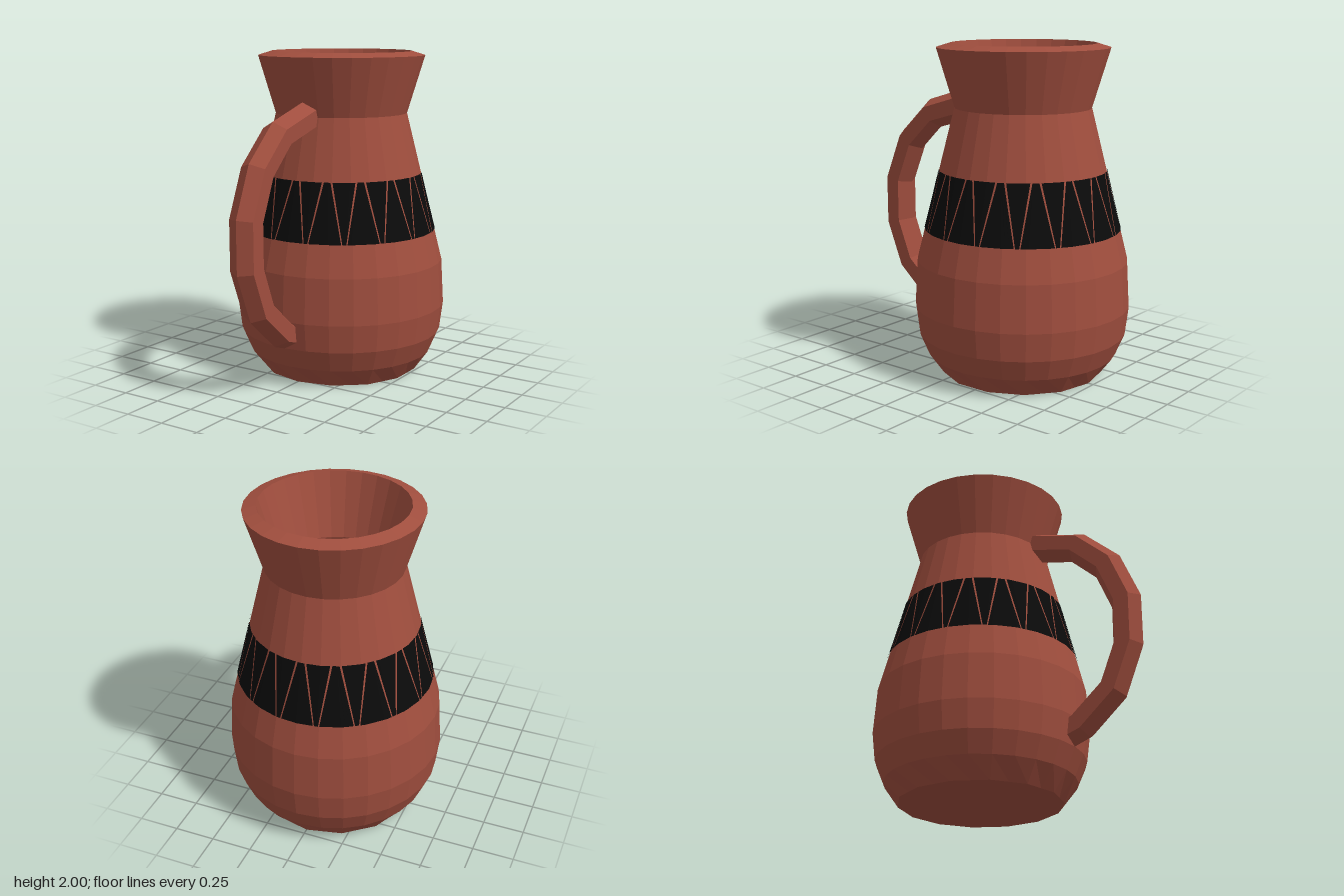
import * as THREE from 'three';

const SIDES = 28;
const CENTER_Z = -0.22;

const clay = new THREE.MeshStandardMaterial({ color: 0xa04e3e });
clay.name = 'terracotta';
const black = new THREE.MeshStandardMaterial({ color: 0x0b0b0b });
black.name = 'black glaze';

// Faceted mesh: every face gets its own normal
function facetMesh(name, geometry, material) {
  const flat = geometry.index ? geometry.toNonIndexed() : geometry;
  flat.computeVertexNormals();
  const mesh = new THREE.Mesh(flat, material);
  mesh.name = name;
  return mesh;
}

function indexedGeometry(positions, index) {
  const g = new THREE.BufferGeometry();
  g.setAttribute('position', new THREE.Float32BufferAttribute(positions, 3));
  g.setIndex(index);
  return g;
}

// Hollow jug body: outside from base to lip, then the inner wall down to the floor
function createBody() {
  const profile = [
    [0, 0], [0.495, 0], [0.58, 0.12], [0.635, 0.25], [0.656, 0.42], [0.64, 0.7],
    [0.41, 1.62], [0.517, 1.975], [0.435, 2],
    [0.325, 1.62], [0.55, 0.7], [0.55, 0.3], [0.42, 0.08], [0, 0.08],
  ].map(([r, y]) => new THREE.Vector2(r, y));
  const g = new THREE.LatheGeometry(profile, SIDES);
  // The foot has half as many sides: pull every other corner onto the chord
  const p = g.attributes.position;
  const k = Math.cos((2 * Math.PI) / SIDES);
  for (let i = 1; i <= SIDES; i += 2) {
    const v = i * profile.length + 1;
    p.setXYZ(v, p.getX(v) * k, p.getY(v), p.getZ(v) * k);
  }
  return facetMesh('body', g, clay);
}

// Point just above the faceted shoulder of the body
function shoulderPoint(angle, y) {
  const seg = (2 * Math.PI) / SIDES;
  const local = angle - Math.floor(angle / seg) * seg - seg / 2;
  const corner = 0.64 - ((y - 0.7) / 0.92) * 0.23;
  const r = (corner * Math.cos(seg / 2)) / Math.cos(local) + 0.005;
  return [r * Math.sin(angle), y, r * Math.cos(angle)];
}

// Band of alternating upright and inverted painted trapezoids
function createBand() {
  const band = new THREE.Group();
  band.name = 'paintedBand';
  const count = 32, bottom = 0.895, top = 1.25, cols = 8;
  const step = (2 * Math.PI) / count;
  for (let n = 0; n < count; n++) {
    const upright = n % 2 === 0;
    const halfBottom = step * (upright ? 0.84 : 0.1);
    const halfTop = step * (upright ? 0.2 : 0.68);
    const positions = [], index = [];
    for (let row = 0; row < 2; row++) {
      for (let c = 0; c <= cols; c++) {
        const a = n * step + (row ? halfTop : halfBottom) * ((2 * c) / cols - 1);
        positions.push(...shoulderPoint(a, row ? top : bottom));
      }
    }
    for (let c = 0; c < cols; c++) {
      const d = c + cols + 1;
      index.push(c, c + 1, d, c + 1, d + 1, d);
    }
    band.add(facetMesh('bandTrapezoid', indexedGeometry(positions, index), black));
  }
  return band;
}

// Hexagonal bar swept along a path in the yz plane
function createHandle() {
  const path = [
    [0.13, 1.635], [0.475, 1.535], [0.672, 1.35], [0.782, 1.085],
    [0.78, 0.805], [0.675, 0.545], [0.465, 0.365], [0.34, 0.325],
  ].map(([z, y]) => new THREE.Vector2(z, y));
  const positions = [], index = [];
  path.forEach((p, i) => {
    const before = path[Math.max(i - 1, 0)];
    const after = path[Math.min(i + 1, path.length - 1)];
    const t = after.clone().sub(before).normalize();
    for (let s = 0; s < 6; s++) {
      const a = (s * Math.PI) / 3;
      const out = 0.096 * Math.cos(a);
      positions.push(0.096 * Math.sin(a), p.y + t.x * out, p.x - t.y * out);
    }
    if (i === 0) return;
    for (let s = 0; s < 6; s++) {
      const a = (i - 1) * 6 + s, b = (i - 1) * 6 + ((s + 1) % 6);
      index.push(a, a + 6, b, b, a + 6, b + 6);
    }
  });
  return facetMesh('handle', indexedGeometry(positions, index), clay);
}

export function createModel() {
  const model = new THREE.Group();
  model.name = 'jug';
  const vessel = new THREE.Group();
  vessel.name = 'vessel';
  vessel.position.z = CENTER_Z;
  vessel.add(createBody(), createBand());
  model.add(vessel, createHandle());
  return model;
}
